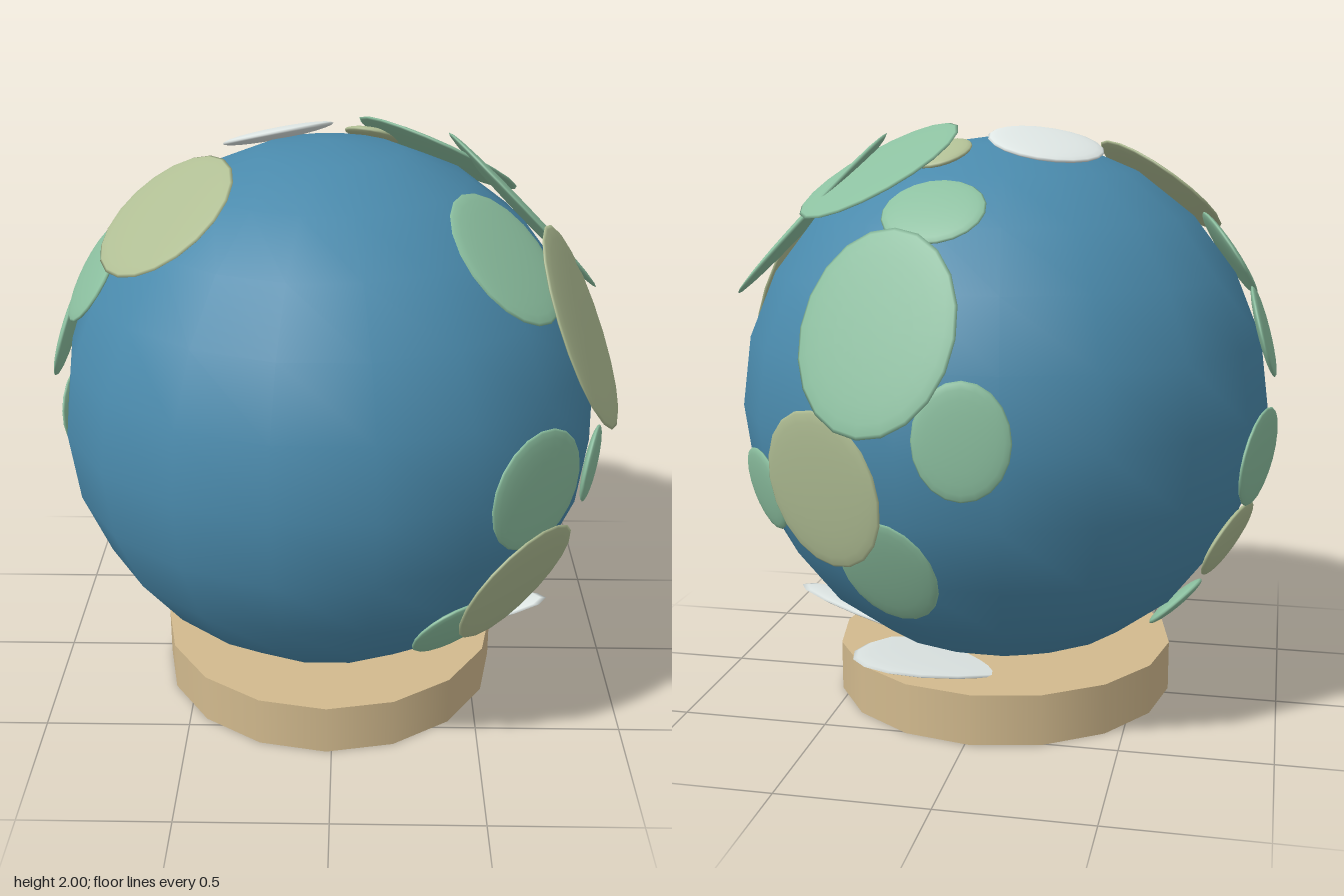
import * as THREE from 'three';

const mat = (name, color) => {
  const m = new THREE.MeshStandardMaterial({ color });
  m.name = name;
  return m;
};

export function createModel() {
  const ocean = mat('ocean blue', 0x4a8aac);
  const forest = mat('forest green', 0x8cc0a0);
  const plains = mat('plains olive', 0xb0be94);
  const ice = mat('ice white', 0xe4ecea);
  const wood = mat('stand tan', 0xd2ba8e);

  const group = new THREE.Group();
  group.name = 'globe';
  const centre = new THREE.Vector3(-0.018, 1.05, 0.042);
  const radius = 0.912;

  // Ocean ball
  const ball = new THREE.Mesh(new THREE.SphereGeometry(radius, 18, 12), ocean);
  ball.name = 'oceanBall';
  ball.position.copy(centre);
  group.add(ball);

  // Round stand
  const stand = new THREE.Mesh(new THREE.CylinderGeometry(0.598, 0.598, 0.175, 16), wood);
  stand.name = 'stand';
  stand.position.set(centre.x, 0.0875, centre.z);
  group.add(stand);

  // Land and ice: flattened lenses lying tangent to the ball
  const lens = new THREE.SphereGeometry(1, 20, 12).rotateX(Math.PI / 2);
  const up = new THREE.Vector3(0, 1, 0);
  function patch(name, material, [x, y, z, east, north]) {
    const n = new THREE.Vector3(x, y, z).sub(centre).normalize();
    const v = up.clone().addScaledVector(n, -n.y).normalize();
    const u = v.clone().cross(n);
    const mesh = new THREE.Mesh(lens, material);
    mesh.name = name;
    mesh.quaternion.setFromRotationMatrix(new THREE.Matrix4().makeBasis(u, v, n));
    mesh.position.copy(centre).addScaledVector(n, 0.926);
    mesh.scale.set(east, north, 0.02);
    group.add(mesh);
  }

  // Each row: a point above the patch centre, then half width and half height
  const forests = [
    [0.52, 1.68, 0.42, 0.2, 0.24],
    [0.64, 1.695, -0.09, 0.246, 0.38],
    [0.35, 1.85, -0.245, 0.295, 0.298],
    [0.21, 1.4, -0.795, 0.268, 0.324],
    [0.085, 1.74, -0.57, 0.17, 0.135],
    [0.19, 0.65, -0.78, 0.17, 0.2],
    [0.65, 0.84, -0.565, 0.14, 0.142],
    [0.86, 0.955, 0.34, 0.11, 0.137],
    [0.625, 1.045, 0.7, 0.21, 0.197],
    [0.39, 0.55, 0.7, 0.15, 0.145],
    [-0.07, 1.1, -0.88, 0.15, 0.18],
    [-0.78, 1.56, 0.19, 0.235, 0.17],
    [-0.905, 1.31, 0.05, 0.2, 0.16],
    [-0.91, 0.93, -0.18, 0.21, 0.165],
    [-0.64, 0.39, -0.1, 0.13, 0.115],
  ];
  const grasslands = [
    [0.8, 1.415, 0.285, 0.252, 0.353],
    [-0.525, 1.785, 0.295, 0.29, 0.255],
    [0.13, 1.907, -0.28, 0.1, 0.11],
    [0.39, 0.905, -0.78, 0.234, 0.258],
    [0.59, 0.675, 0.63, 0.25, 0.246],
    [-0.82, 0.65, -0.2, 0.18, 0.14],
  ];
  const iceSheets = [
    [-0.195, 1.938, -0.17, 0.195, 0.18],
    [0.185, 0.147, 0.055, 0.13, 0.61],
    [0.072, 0.14, -0.1, 0.28, 0.52],
  ];
  forests.forEach((p) => patch('forestPatch', forest, p));
  grasslands.forEach((p) => patch('plainsPatch', plains, p));
  iceSheets.forEach((p) => patch('iceSheet', ice, p));

  return group;
}
